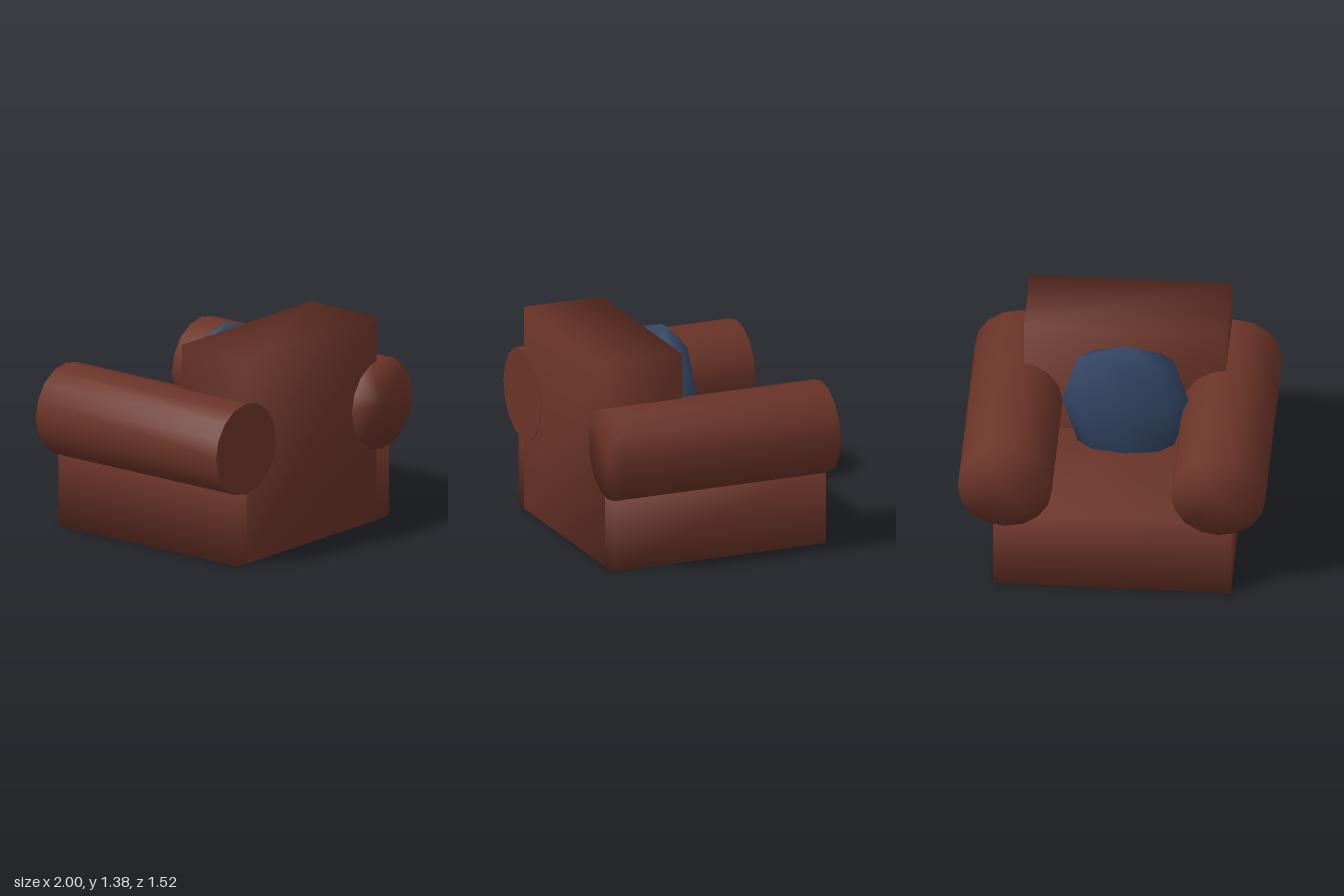
import * as THREE from 'three';
import { mergeVertices } from 'three/addons/utils/BufferGeometryUtils.js';

// Weld shared corners so the shading flows softly across every edge
function soften(geometry) {
  geometry.deleteAttribute('normal');
  geometry.deleteAttribute('uv');
  const welded = mergeVertices(geometry, 1e-4);
  welded.computeVertexNormals();
  return welded;
}

export function createModel() {
  const chair = new THREE.Group();
  chair.name = 'armchair';
  const leather = new THREE.MeshStandardMaterial({ name: 'brown leather', color: 0x6b3428 });
  const fabric = new THREE.MeshStandardMaterial({ name: 'blue fabric', color: 0x334766 });

  function add(name, geometry, material, x, y, z) {
    const mesh = new THREE.Mesh(geometry, material);
    mesh.name = name;
    mesh.position.set(x, y, z);
    chair.add(mesh);
    return mesh;
  }

  // Block given by its lower and upper corners
  function addBlock(name, [x0, y0, z0], [x1, y1, z1]) {
    const box = soften(new THREE.BoxGeometry(x1 - x0, y1 - y0, z1 - z0));
    add(name, box, leather, (x0 + x1) / 2, (y0 + y1) / 2, (z0 + z1) / 2);
  }

  addBlock('seatBase', [-0.775, 0, -0.753], [0.77, 0.56, 0.75]);
  addBlock('backrest', [-0.675, 0, 0.205], [0.64, 1.375, 0.755]);

  // Round bolster arms
  const armRadius = 0.306;
  const armLength = 1.514;
  const armY = 0.777;
  for (const side of [-1, 1]) {
    const arm = new THREE.CylinderGeometry(armRadius, armRadius, armLength, 16);
    arm.rotateX(Math.PI / 2);
    add(side > 0 ? 'leftArm' : 'rightArm', soften(arm), leather, side * 0.694, armY, 0);
  }

  // Flat end panel on one arm
  add('armEndPanel', new THREE.CircleGeometry(armRadius, 16), leather, -0.694, armY, armLength / 2 + 0.002);

  // Faceted pillow: a coarse ball, flattened and made slightly squarer
  const pillow = soften(new THREE.SphereGeometry(1, 8, 4));
  const p = pillow.attributes.position;
  const v = new THREE.Vector3();
  for (let i = 0; i < p.count; i++) {
    v.fromBufferAttribute(p, i);
    const onAxis = Math.max(Math.abs(v.x), Math.abs(v.y), Math.abs(v.z)) > 0.99;
    if (!onAxis) v.multiplyScalar(1.07);
    p.setXYZ(i, v.x * 0.415, v.y * 0.445, v.z * 0.15);
  }
  pillow.computeVertexNormals();
  add('pillow', pillow, fabric, -0.035, 0.915, 0.053);

  return chair;
}
